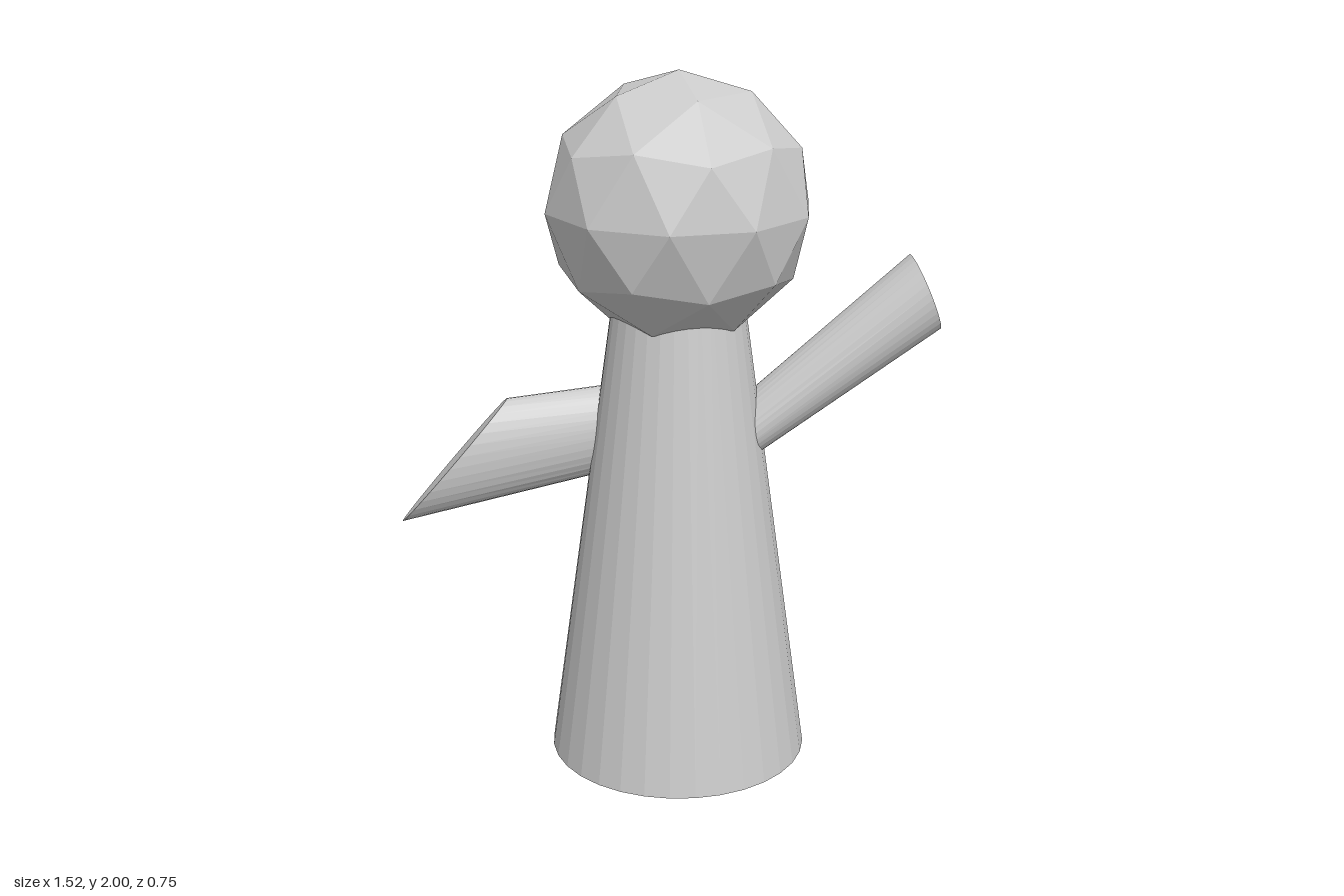
import * as THREE from 'three';

const material = new THREE.MeshStandardMaterial({ color: 0xcccccc, flatShading: true });
const CENTER_X = 0.025;

function addMesh(group, name, geometry) {
  const mesh = new THREE.Mesh(geometry, material);
  mesh.name = name;
  group.add(mesh);
  return mesh;
}

// Cylinder whose two end rings are free ellipses: centre c with half axes u and w
function armGeometry(inner, outer) {
  const geometry = new THREE.CylinderGeometry(1, 1, 1, 32);
  const pos = geometry.attributes.position;
  for (let i = 0; i < pos.count; i++) {
    const ring = pos.getY(i) < 0 ? inner : outer;
    const p = new THREE.Vector3(...ring.c)
      .addScaledVector(new THREE.Vector3(...ring.u), pos.getX(i))
      .addScaledVector(new THREE.Vector3(...ring.w), pos.getZ(i));
    pos.setXYZ(i, p.x, p.y, p.z);
  }
  geometry.computeVertexNormals();
  return geometry;
}

export function createModel() {
  const model = new THREE.Group();
  model.name = 'figure';

  // Tapered body, its top hidden inside the head
  const body = addMesh(model, 'body', new THREE.CylinderGeometry(0.167, 0.375, 1.5, 32));
  body.position.set(CENTER_X, 0.75, 0);

  // Faceted head, turned so that one corner points straight up
  const headGeometry = new THREE.IcosahedronGeometry(0.375, 1);
  headGeometry.rotateZ(-Math.atan(2 / (1 + Math.sqrt(5))));
  const head = addMesh(model, 'head', headGeometry);
  head.position.set(CENTER_X, 1.625, 0);

  // Raised arm
  addMesh(model, 'leftArm', armGeometry(
    { c: [0.1, 0.889, 0.007], u: [0.04, -0.051, 0], w: [0.01, 0, 0.086] },
    { c: [0.713, 1.38, -0.065], u: [0.043, -0.105, 0], w: [0.0175, 0, 0.0875] },
  ));

  // Lowered arm with a slanted end
  addMesh(model, 'rightArm', armGeometry(
    { c: [-0.1, 0.98, -0.054], u: [0, 0.124, 0], w: [0, 0, 0.0875] },
    { c: [-0.61, 0.9, 0.079], u: [0.15, 0.175, -0.035], w: [0, 0, 0.085] },
  ));

  return model;
}
